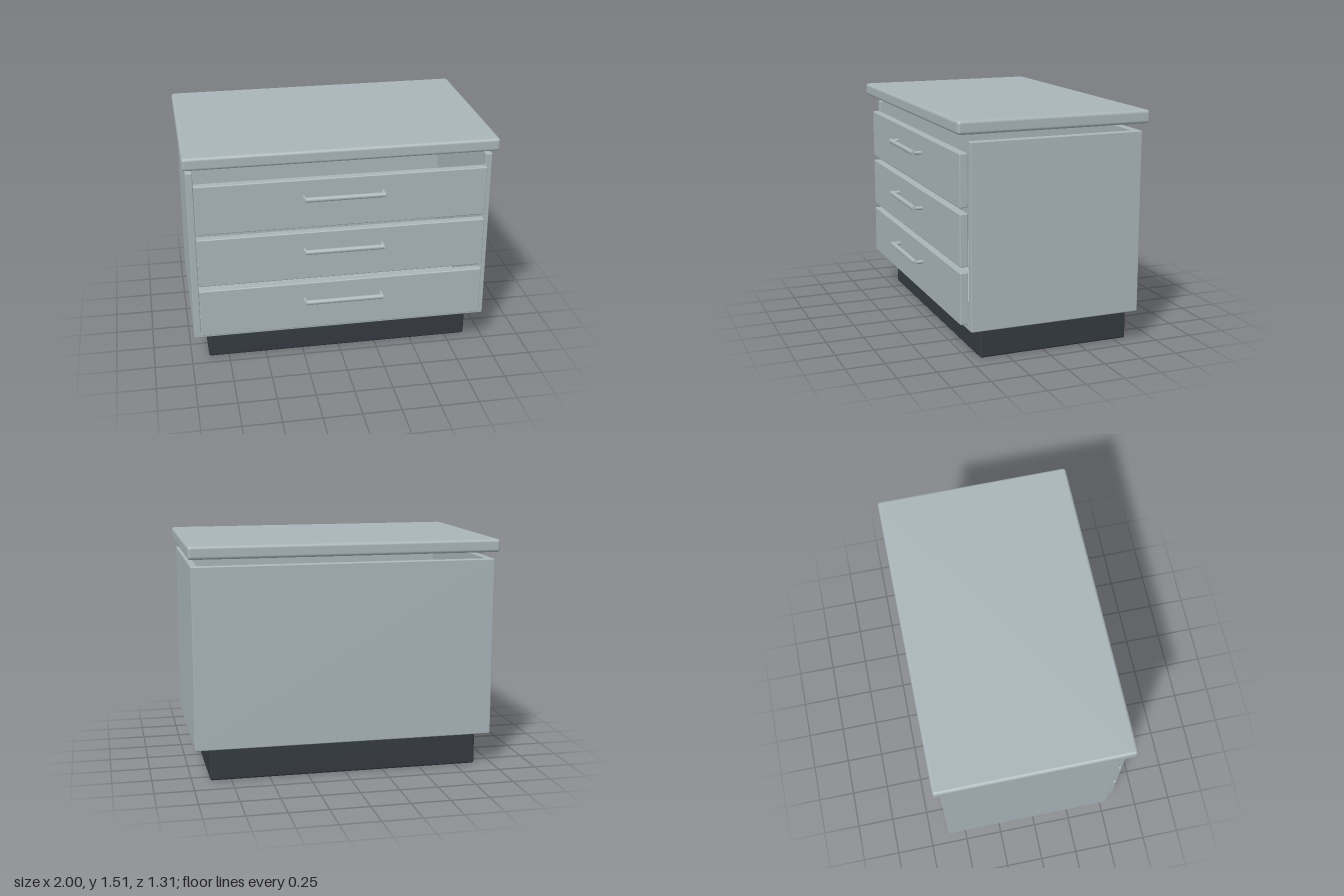
import * as THREE from 'three';
import { RoundedBoxGeometry } from 'three/addons/geometries/RoundedBoxGeometry.js';

const bodyGrey = new THREE.MeshStandardMaterial({ name: 'bodyGrey', color: 0xa8b4b8 });
const plinthDark = new THREE.MeshStandardMaterial({ name: 'plinthDark', color: 0x343a41 });

// Rounded box given by its lower and upper bounds on each axis
function panel(name, [x0, x1], [y0, y1], [z0, z1], radius, material = bodyGrey) {
  const mesh = new THREE.Mesh(new RoundedBoxGeometry(x1 - x0, y1 - y0, z1 - z0, 3, radius), material);
  mesh.name = name;
  mesh.position.set((x0 + x1) / 2, (y0 + y1) / 2, (z0 + z1) / 2);
  return mesh;
}

// Bar pull: a horizontal rod on two short posts
function createHandle() {
  const handle = new THREE.Group();
  handle.name = 'handle';
  const bar = new THREE.Mesh(new THREE.CylinderGeometry(0.016, 0.016, 0.51, 20), bodyGrey);
  bar.name = 'handleBar';
  bar.rotation.z = Math.PI / 2;
  bar.position.z = 0.639;
  handle.add(bar);
  for (const side of [-1, 1]) {
    const post = new THREE.Mesh(new THREE.CylinderGeometry(0.012, 0.012, 0.05, 16), bodyGrey);
    post.name = side > 0 ? 'leftHandlePost' : 'rightHandlePost';
    post.rotation.x = Math.PI / 2;
    post.position.set(side * 0.252, 0, 0.614);
    handle.add(post);
  }
  return handle;
}

export function createModel() {
  const model = new THREE.Group();
  model.name = 'drawerCabinet';

  // Recessed plinth and overhanging worktop
  model.add(panel('plinth', [-0.885, 0.885], [0, 0.23], [-0.585, 0.427], 0.015, plinthDark));
  model.add(panel('worktop', [-1, 1], [1.426, 1.51], [-0.656, 0.606], 0.02));

  // Open-topped carcass
  const depth = [-0.615, 0.521];
  const height = [0.21, 1.38];
  const carcass = new THREE.Group();
  carcass.name = 'carcass';
  carcass.add(
    panel('leftSide', [0.935, 0.98], height, depth, 0.007),
    panel('rightSide', [-0.98, -0.935], height, depth, 0.007),
    panel('backPanel', [-0.98, 0.98], height, [-0.615, -0.57], 0.007),
    panel('bottomPanel', [-0.98, 0.98], [0.21, 0.252], depth, 0.007)
  );
  model.add(carcass);

  // Three drawer fronts with handles
  ['bottomDrawer', 'middleDrawer', 'topDrawer'].forEach((name, i) => {
    const y = 0.25 + i * 0.364;
    const drawer = new THREE.Group();
    drawer.name = name;
    const handle = createHandle();
    handle.position.y = y + 0.221;
    drawer.add(panel('drawerFront', [-0.935, 0.935], [y, y + 0.33], [0.521, 0.574], 0.007), handle);
    model.add(drawer);
  });

  return model;
}
